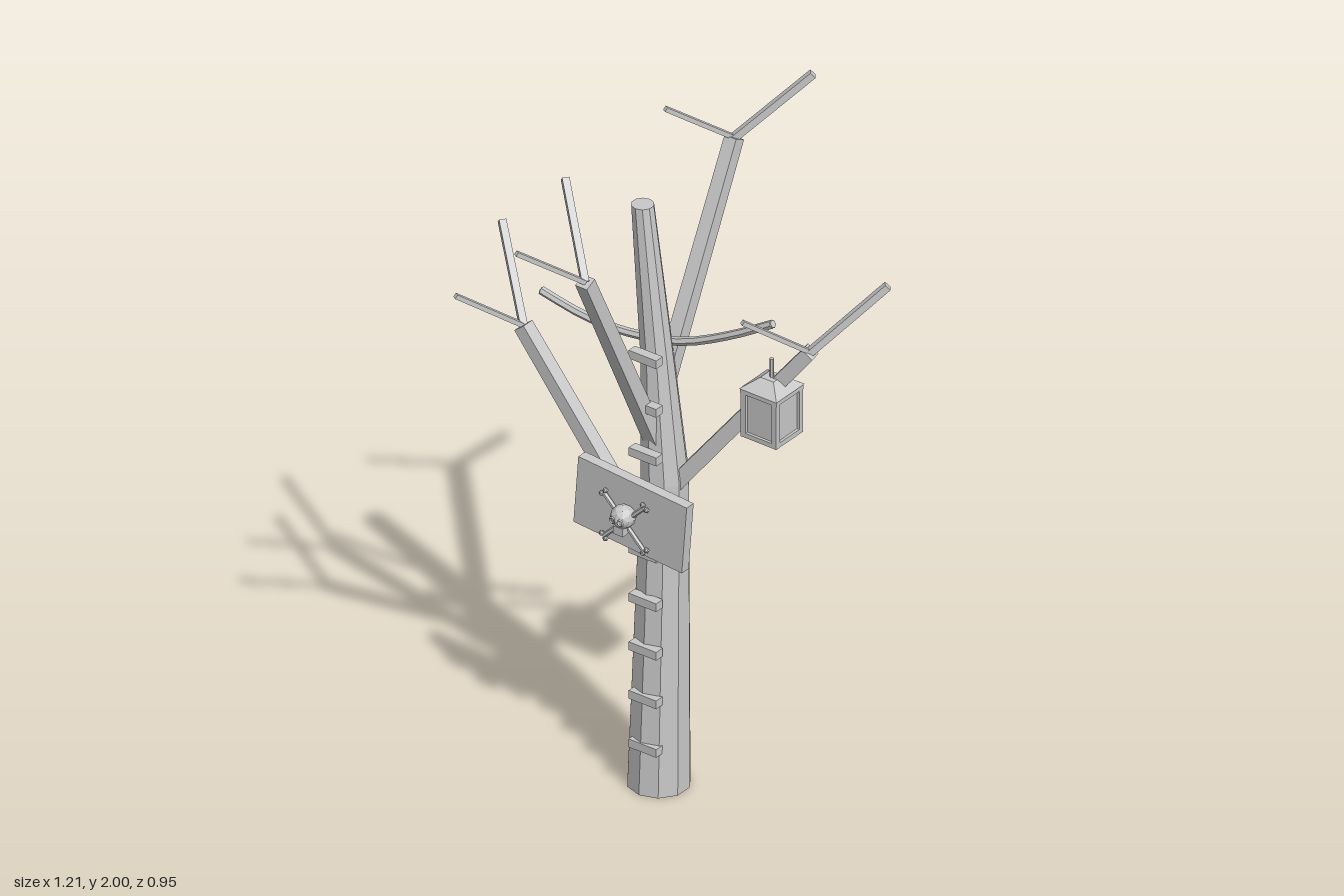
import * as THREE from 'three';

const V = (x, y, z) => new THREE.Vector3(x, y, z);
const wood = new THREE.MeshStandardMaterial({ color: 0xc8c8c8, flatShading: true });
wood.name = 'pale grey';

function add(parent, name, geometry, x = 0, y = 0, z = 0) {
  const mesh = new THREE.Mesh(geometry, wood);
  mesh.name = name;
  mesh.position.set(x, y, z);
  parent.add(mesh);
  return mesh;
}

// Tapered straight limb between two points; four sides are turned flat like a beam
function limb(parent, name, a, b, ra, rb, sides = 4) {
  const dir = b.clone().sub(a), length = dir.length();
  const g = new THREE.CylinderGeometry(rb, ra, length, sides);
  if (sides === 4) g.rotateY(Math.PI / 4);
  // local z stays in the vertical plane of the limb
  const up = dir.normalize();
  const side = V(0, 1, 0).cross(up);
  if (side.lengthSq() < 1e-6) side.set(1, 0, 0);
  side.normalize();
  const mesh = add(parent, name, g);
  mesh.quaternion.setFromRotationMatrix(
    new THREE.Matrix4().makeBasis(side, up, side.clone().cross(up)));
  mesh.position.copy(a).add(b).multiplyScalar(0.5);
  return mesh;
}

// Bent trunk: one ring per [x, y, z, radius]
function trunkGeometry() {
  const rings = [[0.015, 0, -0.012, 0.086], [0.023, 0.93, -0.027, 0.066],
    [0.004, 1.3, -0.018, 0.045], [-0.038, 1.74, -0.012, 0.031]];
  const g = new THREE.CylinderGeometry(1, 1, 1, 10, 3);
  const p = g.attributes.position;
  for (let i = 0; i < p.count; i++) {
    const [x, y, z, r] = rings[Math.round((p.getY(i) + 0.5) * 3)];
    p.setXYZ(i, x + p.getX(i) * r, y, z + p.getZ(i) * r);
  }
  g.computeVertexNormals();
  return g;
}

export function createModel() {
  const tree = new THREE.Group();
  tree.name = 'bareTree';
  add(tree, 'trunk', trunkGeometry());

  // Main branches, each forking into a thick and a thin twig
  const branches = [
    ['left', V(0.045, 0.9, -0.025), V(0.435, 1.415, -0.11), V(0.59, 1.61, -0.24), V(0.335, 1.545, 0.05)],
    ['right', V(0, 0.69, -0.015), V(-0.43, 1.225, -0.015), V(-0.598, 1.42, -0.145), V(-0.53, 1.355, 0.145)],
    ['back', V(0.015, 1.17, -0.02), V(0.015, 1.805, -0.337), V(0.175, 1.995, -0.465), V(-0.085, 1.935, -0.172)],
    ['front', V(0.015, 1.06, 0.01), V(0.015, 1.675, 0.306), V(-0.147, 1.87, 0.178), V(-0.085, 1.805, 0.47)],
  ];
  for (const [side, root, fork, thick, thin] of branches) {
    limb(tree, side + 'Branch', root, fork, 0.03, 0.027);
    limb(tree, side + 'ThickTwig', fork, thick, 0.014, 0.014);
    limb(tree, side + 'ThinTwig', fork, thin, 0.009, 0.009);
  }

  // Sagging limb through the upper trunk
  const sag = new THREE.CatmullRomCurve3([V(-0.37, 1.353, -0.015), V(-0.25, 1.322, -0.025),
    V(-0.13, 1.312, -0.035), V(0.05, 1.335, -0.05), V(0.2, 1.4, -0.065), V(0.335, 1.478, -0.08)]);
  add(tree, 'curvedBranch', new THREE.TubeGeometry(sag, 14, 0.012, 6));
  for (const [t, s] of [[0, -1], [1, 1]]) {
    const end = sag.getPoint(t), out = sag.getTangent(t).multiplyScalar(0.002 * s);
    limb(tree, 'curvedBranchEnd', end, end.clone().add(out), 0.012, 0.011, 6);
  }

  // Ladder rungs up the front
  for (let i = 0; i < 9; i++)
    add(tree, 'rung', new THREE.BoxGeometry(0.09, 0.025, 0.028), 0.025, 0.145 + i * 0.148, 0.058);

  // Crooked sign board
  const board = add(tree, 'signBoard', new THREE.BoxGeometry(0.355, 0.205, 0.03), 0.015, 0.872, 0.097);
  board.rotation.z = -0.078;

  // Skull and crossed bones on the board
  const emblem = new THREE.Group();
  emblem.name = 'skullAndBones';
  emblem.position.set(0.013, 0.862, 0.135);
  tree.add(emblem);
  const skull = add(emblem, 'skull', new THREE.IcosahedronGeometry(0.035, 1), 0, 0.018, 0.004);
  skull.scale.set(1, 0.95, 0.95);
  add(emblem, 'jaw', new THREE.BoxGeometry(0.032, 0.024, 0.03), 0, -0.017, 0.012);
  for (const s of [-1, 1]) {
    add(emblem, 'eyeRim', new THREE.TorusGeometry(0.008, 0.003, 4, 8), s * 0.013, 0.016, 0.034);
    limb(emblem, 'bone', V(-s * 0.066, -0.066, 0), V(s * 0.066, 0.066, 0), 0.007, 0.007, 6);
    for (const e of [-1, 1])
      for (const k of [-1, 1])
        add(emblem, 'boneKnob', new THREE.IcosahedronGeometry(0.0085, 0),
          e * s * 0.067 + k * s * 0.006, e * 0.067 - k * 0.006, 0);
  }

  // Hanging lantern
  const lantern = new THREE.Group();
  lantern.name = 'lantern';
  lantern.position.set(0.335, 1.145, -0.077);
  tree.add(lantern);
  add(lantern, 'lanternBase', new THREE.BoxGeometry(0.116, 0.014, 0.116), 0, 0.007, 0);
  add(lantern, 'lanternPanes', new THREE.BoxGeometry(0.1, 0.13, 0.1), 0, 0.075, 0);
  add(lantern, 'lanternRim', new THREE.BoxGeometry(0.118, 0.014, 0.118), 0, 0.138, 0);
  for (const x of [-1, 1])
    for (const z of [-1, 1])
      add(lantern, 'lanternPost', new THREE.BoxGeometry(0.016, 0.13, 0.016), x * 0.05, 0.075, z * 0.05);
  const roof = new THREE.CylinderGeometry(0.03, 0.086, 0.03, 4).rotateY(Math.PI / 4);
  add(lantern, 'lanternRoof', roof, 0, 0.16, 0);
  add(lantern, 'lanternHanger', new THREE.CylinderGeometry(0.006, 0.006, 0.06, 6), 0, 0.2, 0);

  return tree;
}
